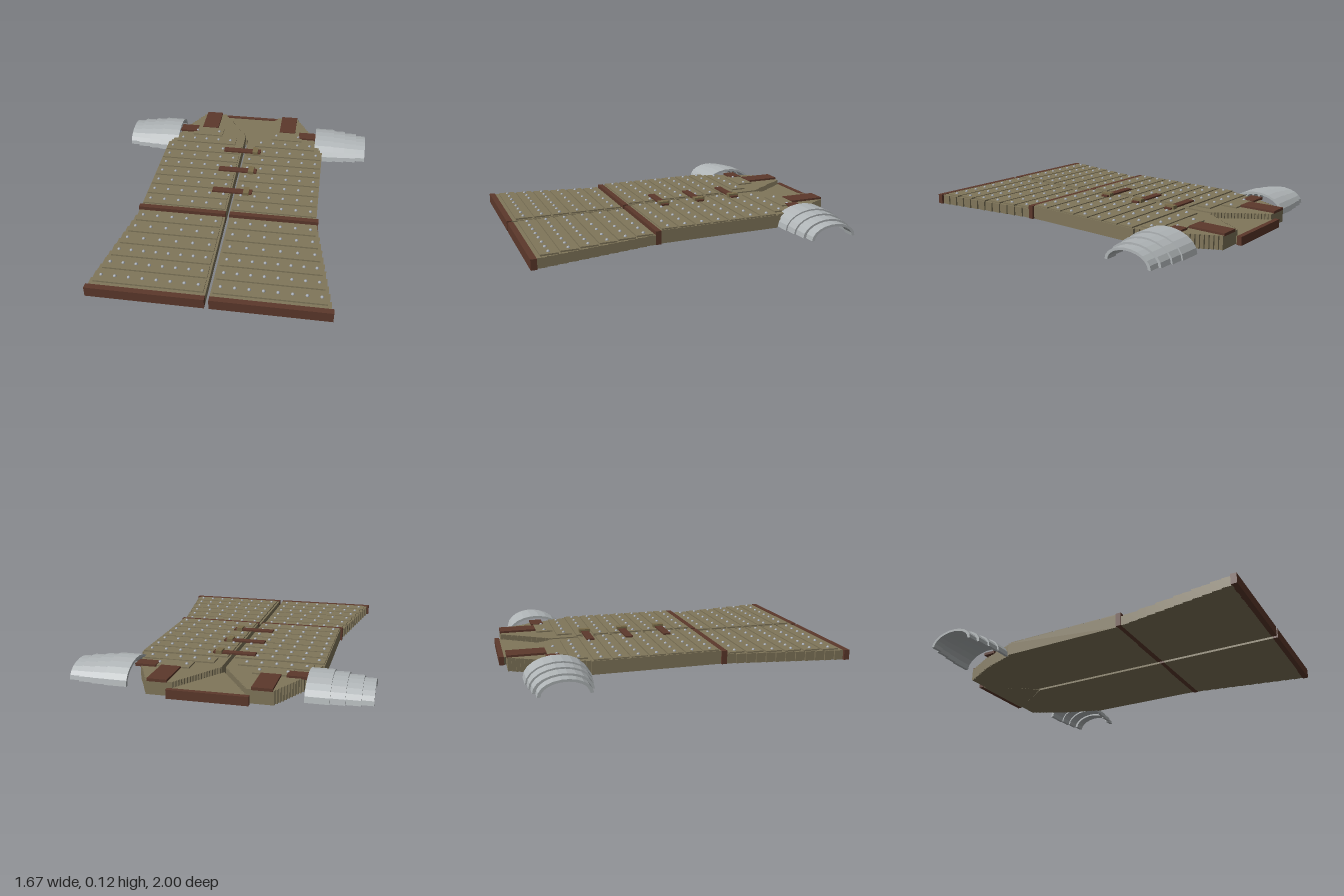
import * as THREE from 'three';

const flat = (name, color) => {
  const m = new THREE.MeshStandardMaterial({ color });
  m.name = name;
  return m;
};

export function createModel() {
  const cloth = flat('olive cloth', 0x80765a);
  const leather = flat('brown leather', 0x5c382b);
  const steel = flat('steel', 0xafb4b6);
  const rivetSteel = flat('rivet steel', 0xa3a9b2);
  const brass = flat('dull brass', 0x7a6c4a);
  const model = new THREE.Group();
  model.name = 'studdedCoat';

  const add = (name, geometry, material) => {
    const mesh = new THREE.Mesh(geometry, material);
    mesh.name = name;
    model.add(mesh);
    return mesh;
  };
  // Box given by its limits
  const box = (name, x0, x1, y0, y1, z0, z1, material) =>
    add(name, new THREE.BoxGeometry(Math.abs(x1 - x0), y1 - y0, z1 - z0), material)
      .position.set((x0 + x1) / 2, (y0 + y1) / 2, (z0 + z1) / 2);
  // Flat slab from an outline of [x, z] points
  const slab = (name, points, y0, y1, material) => {
    const shape = new THREE.Shape(points.map(([x, z]) => new THREE.Vector2(x, -z)));
    const g = new THREE.ExtrudeGeometry(shape, { depth: y1 - y0, bevelEnabled: false });
    g.rotateX(-Math.PI / 2).translate(0, y0, 0);
    return add(name, g, material);
  };
  // Staircase of [x, z] points between two corners
  const stairs = (x0, z0, x1, z1, n) => {
    const out = [];
    for (let i = 0; i < n; i++) {
      const x = x0 + (x1 - x0) * (i + 0.5) / n;
      out.push([x, z0 + (z1 - z0) * i / n], [x, z0 + (z1 - z0) * (i + 1) / n]);
    }
    return out;
  };

  const rivetGeometry = new THREE.SphereGeometry(0.01, 8, 3, 0, Math.PI * 2, 0, Math.PI / 2);
  const rivets = (s, x0, x1, n, y, z) => {
    for (let i = 0; i < n; i++) {
      add('rivet', rivetGeometry, rivetSteel)
        .position.set(s * (x0 + (x1 - x0) * i / (n - 1)), y, z);
    }
  };

  const gap = 0.012;
  const skirtEdge = z => 0.545 + (z - 0.27) * 0.165;

  for (const s of [-1, 1]) {
    const side = s > 0 ? 'left' : 'right';
    const mirror = pts => pts.map(([x, z]) => [s * x, z]);

    // Chest half with stepped armhole and neckline
    slab(side + 'Chest', mirror([
      [gap, 0.245], [gap, -0.67],
      ...stairs(gap, -0.67, 0.2, -0.96, 18),
      ...stairs(0.34, -0.96, 0.455, -0.74, 10),
      ...stairs(0.455, -0.74, 0.53, -0.52, 8),
      [0.54, -0.52], [0.54, 0.245],
    ]), 0, 0.078, cloth);

    // Chest plates: seven full rows, then two shorter ones
    for (let i = 0; i < 7; i++) {
      const z = -0.46 + i * 0.107;
      box(side + 'ChestPlate', s * 0.022, s * 0.535, 0.076, 0.086, z - 0.047, z + 0.047, cloth);
      rivets(s, 0.055, 0.5, 6, 0.086, z);
    }
    box(side + 'UpperChestPlate', s * 0.07, s * 0.485, 0.076, 0.086, -0.625, -0.53, cloth);
    rivets(s, 0.11, 0.45, 5, 0.086, -0.577);
    box(side + 'CollarbonePlate', s * 0.178, s * 0.39, 0.076, 0.086, -0.74, -0.637, cloth);
    rivets(s, 0.207, 0.365, 2, 0.086, -0.688);

    // Skirt half with flared stepped edge
    slab(side + 'Skirt', mirror([
      [gap, 0.97], [gap, 0.27], ...stairs(skirtEdge(0.27), 0.27, skirtEdge(0.97), 0.97, 12),
    ]), 0, 0.057, cloth);
    for (let i = 0; i < 6; i++) {
      const z = 0.333 + i * 0.112;
      const edge = skirtEdge(z);
      box(side + 'SkirtPlate', s * 0.025, s * (edge - 0.012), 0.055, 0.066, z - 0.05, z + 0.05, cloth);
      rivets(s, 0.06, edge - 0.045, i < 3 ? 6 : 8, 0.066, z);
    }

    // Leather trim
    box(side + 'WaistBand', s * gap, s * 0.553, 0, 0.08, 0.24, 0.272, leather);
    box(side + 'Hem', s * gap, s * 0.67, 0, 0.06, 0.966, 1, leather);
    box(side + 'ShoulderStrap', s * 0.225, s * 0.337, 0.074, 0.09, -0.963, -0.74, leather);
    box(side + 'PauldronTie', s * 0.367, s * 0.487, 0.074, 0.09, -0.752, -0.674, leather);

    // Arched shoulder lames, each smaller than the last
    const lames = [
      [0.485, 0.615, 0.182, 0.115], [0.61, 0.692, 0.173, 0.106],
      [0.688, 0.772, 0.162, 0.096], [0.768, 0.835, 0.145, 0.085],
    ];
    for (const [x0, x1, radius, height] of lames) {
      const arch = new THREE.Shape();
      const n = 11;
      for (let i = 0; i <= n; i++) {
        const a = Math.PI * i / n;
        arch[i ? 'lineTo' : 'moveTo'](radius * Math.cos(a), height * Math.sin(a));
      }
      for (let i = n; i >= 0; i--) {
        const a = Math.PI * i / n;
        arch.lineTo((radius - 0.018) * Math.cos(a), (height - 0.014) * Math.sin(a));
      }
      const g = new THREE.ExtrudeGeometry(arch, { depth: x1 - x0, bevelEnabled: false });
      g.rotateY(Math.PI / 2).translate(s > 0 ? x0 : -x1, 0.002, -0.712);
      add(side + 'PauldronLame', g, steel);
    }
  }

  // Sunken back of the neck and collar band
  slab('neckBack', [[0, -0.66], [0.215, -0.972], [-0.215, -0.972]], 0, 0.045, cloth);
  box('collarBand', -0.22, 0.22, 0, 0.05, -1, -0.972, leather);

  // Closing straps with buckles
  for (const z of [-0.447, -0.205, 0.038]) {
    box('closingStrap', -0.13, 0.122, 0.086, 0.096, z - 0.023, z + 0.023, leather);
    box('buckle', 0.067, 0.103, 0.084, 0.107, z - 0.033, z + 0.033, brass);
  }

  return model;
}
